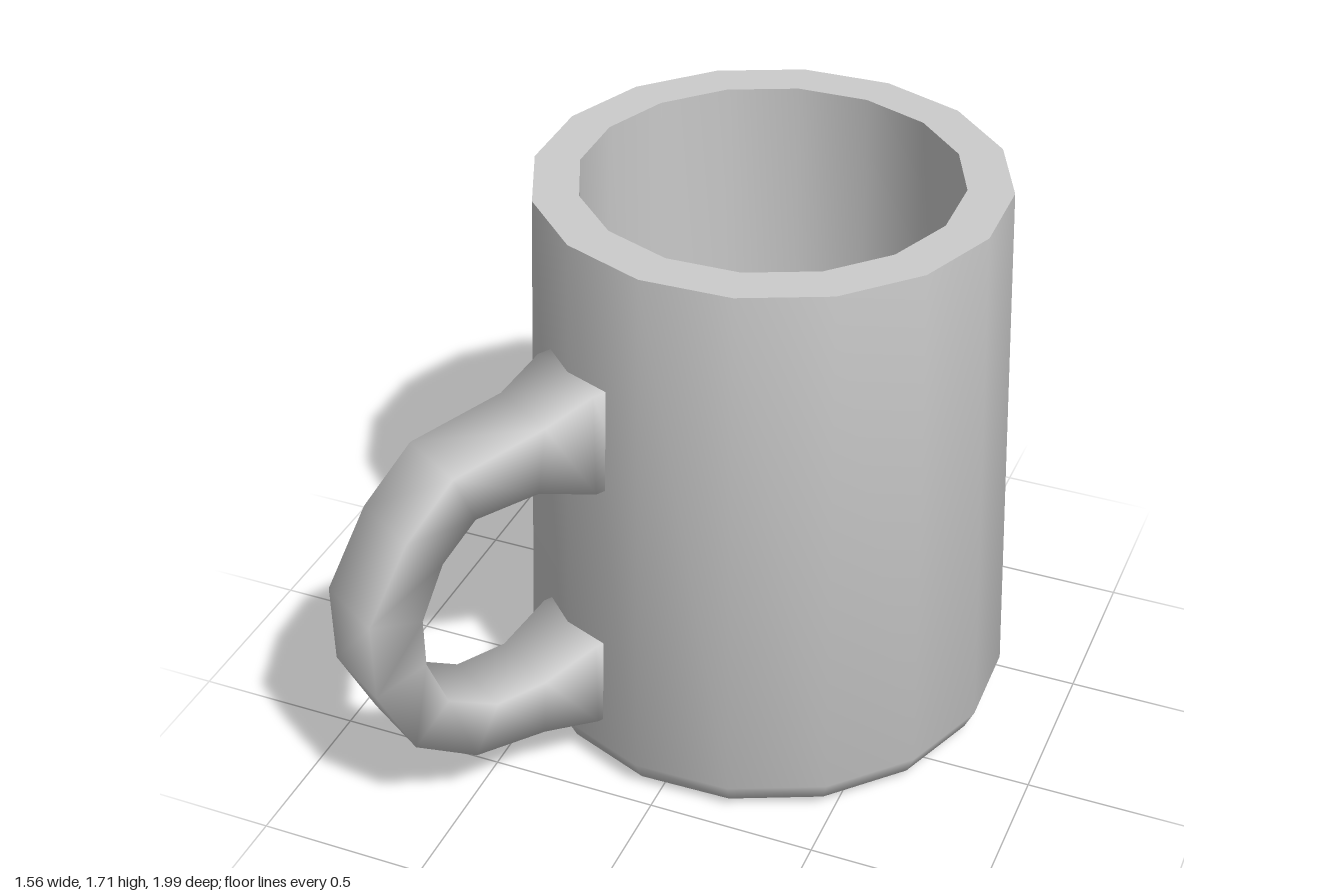
import * as THREE from 'three';
import { toCreasedNormals } from 'three/addons/utils/BufferGeometryUtils.js';

const deg = Math.PI / 180;

// Sixteen-sided cup: underside, bevelled foot, tapered wall, flat rim, hollow inside
function cupGeometry() {
  const profile = [
    [0, 0], [0.64, 0], [0.705, 0.03], [0.735, 0.095], [0.67, 1.71],
    [0.54, 1.71], [0.58, 0.13], [0, 0.13],
  ].map(([r, y]) => new THREE.Vector2(r, y));
  return toCreasedNormals(new THREE.LatheGeometry(profile, 16, 12.6 * deg), 50 * deg);
}

// Four-sided handle lofted through sections: outer reach, outer y, inner reach, inner y, half width
function handleGeometry() {
  const sections = [
    [0.60, 1.32, 0.60, 1.00, 0.135],
    [0.70, 1.32, 0.70, 1.00, 0.135],
    [0.84, 1.26, 0.87, 1.06, 0.11],
    [1.13, 1.215, 1.07, 1.06, 0.11],
    [1.285, 1.07, 1.18, 0.96, 0.11],
    [1.415, 0.85, 1.255, 0.80, 0.11],
    [1.415, 0.61, 1.255, 0.65, 0.11],
    [1.31, 0.38, 1.195, 0.49, 0.11],
    [1.12, 0.25, 1.04, 0.40, 0.11],
    [0.89, 0.22, 0.88, 0.40, 0.11],
    [0.72, 0.19, 0.72, 0.47, 0.135],
    [0.62, 0.19, 0.62, 0.47, 0.135],
  ];
  const positions = [];
  const index = [];
  for (const [od, oy, id, iy, w] of sections) {
    positions.push(-w, oy, od, w, oy, od, w, iy, id, -w, iy, id);
  }
  for (let s = 0; s < sections.length - 1; s++) {
    for (let k = 0; k < 4; k++) {
      const a = s * 4 + k, b = s * 4 + (k + 1) % 4;
      index.push(a, a + 4, b, b, a + 4, b + 4);
    }
  }
  const geometry = new THREE.BufferGeometry();
  geometry.setAttribute('position', new THREE.Float32BufferAttribute(positions, 3));
  geometry.setIndex(index);
  geometry.computeVertexNormals();
  return geometry;
}

export function createModel() {
  const group = new THREE.Group();
  group.name = 'mug';
  const material = new THREE.MeshStandardMaterial({ color: 0xcccccc });

  const cup = new THREE.Mesh(cupGeometry(), material);
  cup.name = 'cup';

  // The handle points forward and to the mug's right
  const handle = new THREE.Mesh(handleGeometry(), material);
  handle.name = 'handle';
  handle.rotation.y = -31.5 * deg;

  group.add(cup, handle);
  for (const part of group.children) part.position.set(0.06, 0, -0.27);
  return group;
}
